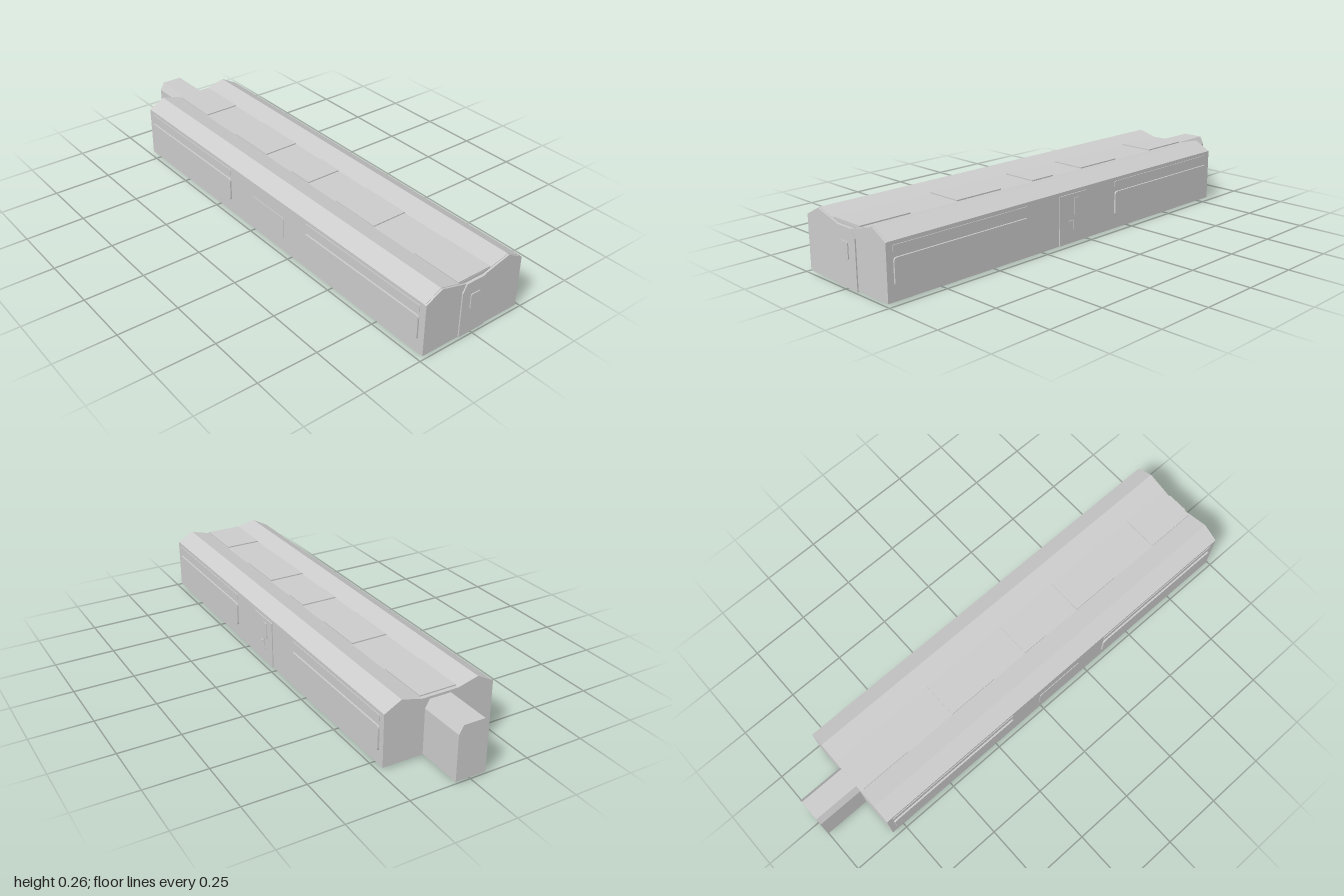
import * as THREE from 'three';

const material = new THREE.MeshStandardMaterial({ color: 0xcccccc, flatShading: true });

// Half profile [z, y] from bottom to top, mirrored and swept along x
function sweep(name, half, x0, x1) {
  const points = [...half, ...half.slice().reverse().map(([z, y]) => [-z, y])];
  const shape = new THREE.Shape(points.map(([z, y]) => new THREE.Vector2(z, y)));
  const geometry = new THREE.ExtrudeGeometry(shape, { depth: x1 - x0, bevelEnabled: false });
  geometry.rotateY(Math.PI / 2).translate(x0, 0, 0);
  const mesh = new THREE.Mesh(geometry, material);
  mesh.name = name;
  return mesh;
}

// Thin plate with rounded corners, facing +z from z = 0
function plate(name, x0, x1, y0, y1, depth, r = 0.012) {
  const s = new THREE.Shape();
  s.moveTo(x0 + r, y0).lineTo(x1 - r, y0);
  s.quadraticCurveTo(x1, y0, x1, y0 + r).lineTo(x1, y1 - r);
  s.quadraticCurveTo(x1, y1, x1 - r, y1).lineTo(x0 + r, y1);
  s.quadraticCurveTo(x0, y1, x0, y1 - r).lineTo(x0, y0 + r);
  s.quadraticCurveTo(x0, y0, x0 + r, y0);
  const geometry = new THREE.ExtrudeGeometry(s, { depth, bevelEnabled: false, curveSegments: 3 });
  const mesh = new THREE.Mesh(geometry, material);
  mesh.name = name;
  return mesh;
}

function box(name, x0, x1, y0, y1, z0, z1) {
  const mesh = new THREE.Mesh(new THREE.BoxGeometry(x1 - x0, y1 - y0, z1 - z0), material);
  mesh.position.set((x0 + x1) / 2, (y0 + y1) / 2, (z0 + z1) / 2);
  mesh.name = name;
  return mesh;
}

export function createModel() {
  const model = new THREE.Group();
  model.name = 'longHall';
  const wall = 0.232;

  // Long body with twin roof ridges and a flat valley
  model.add(sweep('body', [[wall, 0.007], [wall, 0.224], [0.162, 0.262], [0.078, 0.24]], -0.805, 0.984));
  // End cap with a deeper valley
  model.add(sweep('endCap', [[wall, 0.007], [wall, 0.223], [0.162, 0.26], [0.045, 0.229]], 0.984, 0.991));
  model.add(box('baseStrip', -0.8, 0.99, 0, 0.008, -0.055, 0.055));

  // Connecting passage and the matching end door
  const passage = [[0.063, 0.008], [0.063, 0.197], [0.045, 0.23]];
  model.add(sweep('passage', passage, -1, -0.8));
  model.add(sweep('endDoor', passage, 0.985, 0.996));
  const endWindow = plate('endWindow', -0.023, 0.023, 0.114, 0.178, 0.01, 0.006);
  endWindow.rotation.y = Math.PI / 2;
  endWindow.position.x = 0.99;
  model.add(endWindow);

  // Raised skylights along the valley
  for (const [x0, x1] of [[-0.79, -0.57], [-0.343, -0.123], [0.045, 0.16], [0.33, 0.55], [0.765, 0.983]]) {
    model.add(box('skylight', x0, x1, 0.235, 0.245, -0.077, 0.077));
  }

  // Long window panels with a narrow rail above, on both sides
  for (const side of [1, -1]) {
    const panels = new THREE.Group();
    panels.name = side > 0 ? 'frontPanels' : 'backPanels';
    for (const [x0, x1] of [[-0.78, -0.157], [0.34, 0.963]]) {
      panels.add(plate('windowPanel', side > 0 ? x0 : -x1, side > 0 ? x1 : -x0, 0.064, 0.165, 0.009));
      panels.add(plate('rail', side > 0 ? x0 : -x1, side > 0 ? x1 : -x0, 0.183, 0.209, 0.005, 0.005));
    }
    panels.position.z = side * 0.23;
    if (side < 0) panels.rotation.y = Math.PI;
    model.add(panels);
  }

  // Shallow plate in the middle of the front
  const centrePlate = plate('centrePlate', -0.012, 0.205, 0.064, 0.16, 0.0045);
  centrePlate.position.z = 0.23;
  model.add(centrePlate);

  // Side door on the back, with a window, handle and step
  model.add(box('sideDoor', 0.018, 0.168, 0.008, 0.209, -0.236, -0.225));
  model.add(box('doorWindow', 0.06, 0.09, 0.12, 0.19, -0.239, -0.23));
  model.add(box('doorHandle', 0.095, 0.115, 0.095, 0.102, -0.239, -0.23));
  model.add(box('doorPost', 0.082, 0.09, 0.06, 0.12, -0.238, -0.23));

  return model;
}
